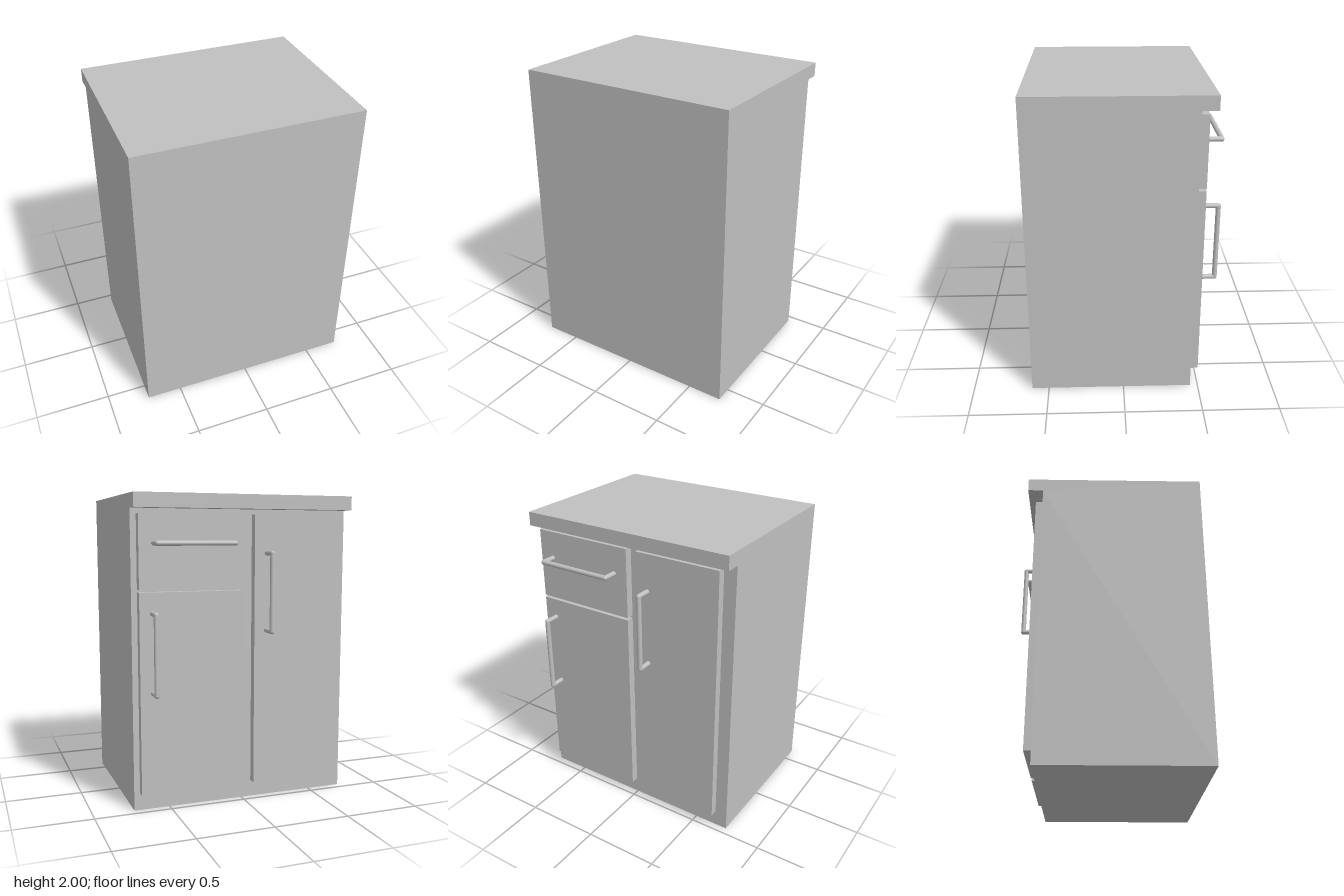
import * as THREE from 'three';

const FACE_Z = -0.45;   // cabinet face that carries the doors
const DOOR_Z = -0.503;  // outer face of doors and drawer
const BAR_Z = -0.594;   // centre line of handle bars
const R = 0.016;        // handle radius

export function createModel() {
  const group = new THREE.Group();
  const grey = new THREE.MeshStandardMaterial({ color: 0xc0c0c0 });
  grey.name = 'cabinetGrey';

  const add = (parent, name, geometry) => {
    const mesh = new THREE.Mesh(geometry, grey);
    mesh.name = name;
    parent.add(mesh);
    return mesh;
  };

  // Cabinet body with overhanging worktop: one side profile (z, y) swept along x
  const profile = new THREE.Shape([
    [0.612, 0], [0.612, 2], [-0.55, 2], [-0.55, 1.91], [FACE_Z, 1.91], [FACE_Z, 0],
  ].map(([z, y]) => new THREE.Vector2(z, y)));
  const body = new THREE.ExtrudeGeometry(profile, { depth: 1.47, bevelEnabled: false });
  body.rotateY(-Math.PI / 2).translate(0.735, 0, 0);
  add(group, 'cabinetBody', body);

  // Flat panels laid on the cabinet face
  const panel = (name, x0, x1, y0, y1) => {
    const depth = FACE_Z - DOOR_Z;
    add(group, name, new THREE.BoxGeometry(x1 - x0, y1 - y0, depth))
      .position.set((x0 + x1) / 2, (y0 + y1) / 2, (FACE_Z + DOOR_Z) / 2);
  };
  panel('drawerFront', 0.005, 0.697, 1.414, 1.878);
  panel('smallDoor', 0.005, 0.697, 0.111, 1.398);
  panel('tallDoor', -0.651, -0.066, 0.111, 1.878);

  // Bar handle: two legs, a bar and round corners, built upright about its centre
  const handle = (name, x, y, horizontal) => {
    const h = new THREE.Group();
    h.name = name;
    const half = 0.25;
    add(h, 'handleBar', new THREE.CylinderGeometry(R, R, half * 2, 20, 1, true)).position.z = BAR_Z;
    for (const s of [-1, 1]) {
      const leg = new THREE.CylinderGeometry(R, R, DOOR_Z - BAR_Z, 20);
      leg.rotateX(Math.PI / 2);
      add(h, 'handleLeg', leg).position.set(0, s * half, (DOOR_Z + BAR_Z) / 2);
      add(h, 'handleCorner', new THREE.SphereGeometry(R, 20, 12)).position.set(0, s * half, BAR_Z);
    }
    h.position.set(x, y, 0);
    if (horizontal) h.rotation.z = Math.PI / 2;
    group.add(h);
  };
  handle('drawerHandle', 0.351, 1.698, true);
  handle('smallDoorHandle', 0.615, 1.018, false);
  handle('tallDoorHandle', -0.15, 1.384, false);

  return group;
}
